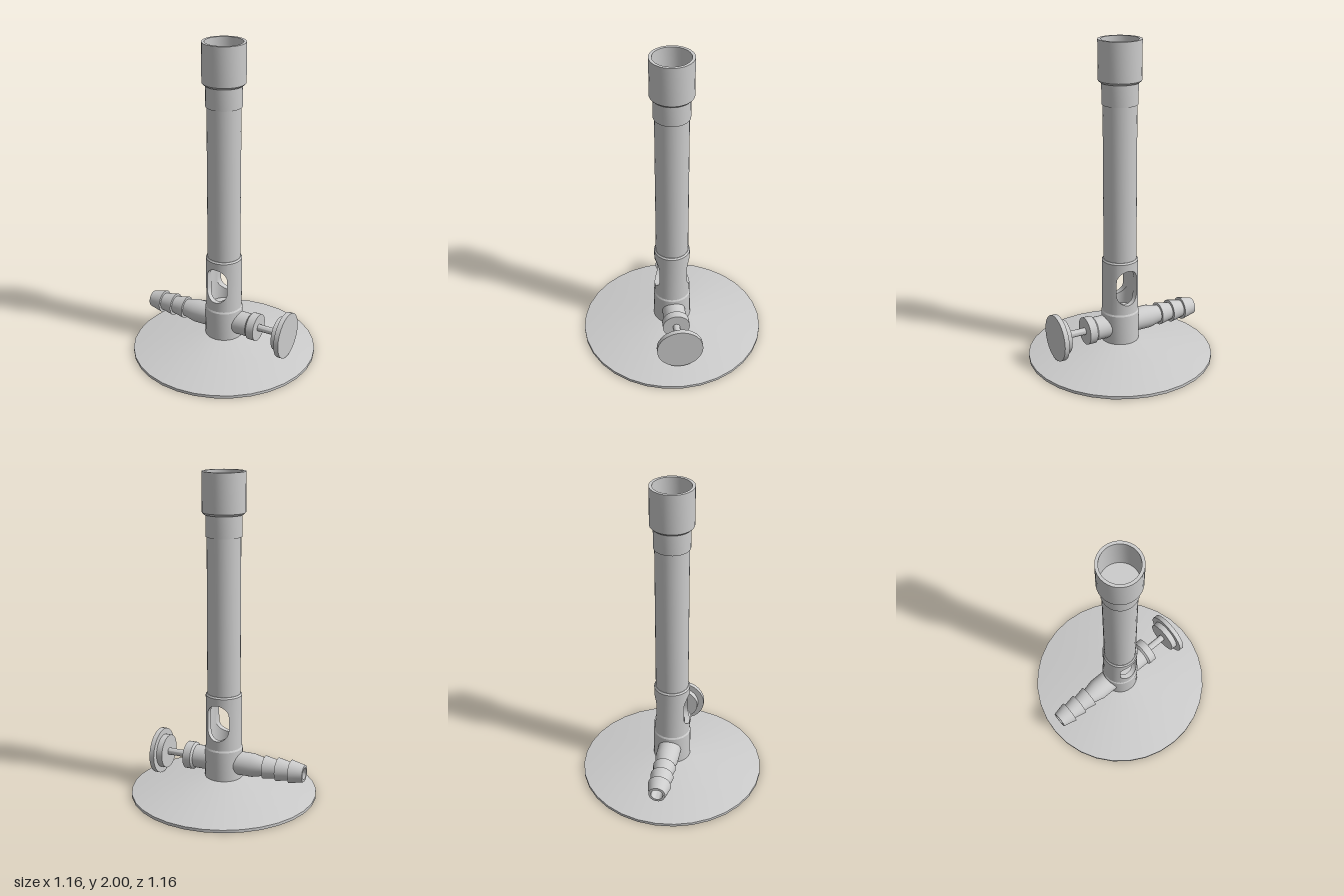
import * as THREE from 'three';
import { toCreasedNormals } from 'three/addons/utils/BufferGeometryUtils.js';

const material = new THREE.MeshStandardMaterial({ color: 0xcccccc });
const AXIS_Y = 0.207; // height of the gas inlet and valve

// Turned part: profile is [radius, position along axis]
function turned(name, profile, sides = 32) {
  const points = profile.map(([r, y]) => new THREE.Vector2(r, y));
  const mesh = new THREE.Mesh(toCreasedNormals(new THREE.LatheGeometry(points, sides), 0.4), material);
  mesh.name = name;
  return mesh;
}

// Turned part lying along x
function sideways(name, profile) {
  const mesh = turned(name, profile);
  mesh.rotation.z = -Math.PI / 2;
  mesh.position.y = AXIS_Y;
  return mesh;
}

// Sleeve with a straight rounded slot cut through front and back
function slottedSleeve(name) {
  const ro = 0.112, ri = 0.08, half = 0.07, straight = 0.045, mid = 0.485, steps = 12;
  const columns = [];
  for (const turn of [0, Math.PI]) {
    for (let k = 0; k <= steps; k++) {
      const phi = (k / steps - 0.5) * Math.PI;
      const x = half * Math.sin(phi);
      columns.push({ angle: r => turn + Math.asin(x / r), gap: straight + half * Math.cos(phi), wall: false });
    }
    for (let k = 0; k <= steps; k++) {
      columns.push({
        angle: r => {
          const edge = Math.asin(half / r);
          return turn + THREE.MathUtils.lerp(edge, Math.PI - edge, k / steps);
        },
        gap: 0, wall: true,
      });
    }
  }
  // Closed sections below and above the slot; rim is the edge facing the slot
  const sections = [
    { rim: 1, loop: g => [[ro, 0.3], [ro, mid - g], [ri, mid - g], [ri, 0.3]] },
    { rim: 4, loop: g => [[ro, mid + g], [ro, 0.645], [ro - 0.008, 0.655], [ri, 0.655], [ri, mid + g]] },
  ];
  const positions = [];
  for (const { rim, loop } of sections) {
    const rings = columns.map(c => loop(c.gap).map(([r, y]) =>
      [r * Math.sin(c.angle(r)), y, r * Math.cos(c.angle(r))]));
    rings.forEach((ring, j) => {
      const n = (j + 1) % rings.length, next = rings[n];
      ring.forEach((a, i) => {
        if (i === rim && columns[j].wall && columns[n].wall) return;
        const m = (i + 1) % ring.length;
        positions.push(...a, ...next[i], ...next[m], ...a, ...next[m], ...ring[m]);
      });
    });
  }
  const geometry = new THREE.BufferGeometry();
  geometry.setAttribute('position', new THREE.Float32BufferAttribute(positions, 3));
  const mesh = new THREE.Mesh(toCreasedNormals(geometry, 0.4), material);
  mesh.name = name;
  return mesh;
}

export function createModel() {
  const group = new THREE.Group();
  group.name = 'gasBurner';

  // Foot and upright
  group.add(turned('base', [[0, 0], [0.58, 0], [0.58, 0.018], [0.118, 0.112], [0, 0.112]]));
  group.add(turned('valveBlock', [[0, 0.1], [0.118, 0.1], [0.118, 0.3], [0.112, 0.31], [0, 0.31]]));
  group.add(slottedSleeve('airCollar'));
  group.add(turned('barrel', [[0, 0.64], [0.102, 0.64], [0.102, 1.63], [0, 1.63]]));
  group.add(turned('neck', [[0, 1.62], [0.109, 1.62], [0.109, 1.76], [0, 1.76]]));

  // Open cup at the top
  group.add(turned('burnerHead', [
    [0, 1.75], [0.117, 1.75], [0.13, 1.763], [0.13, 2], [0.112, 2], [0.112, 1.77], [0, 1.77],
  ]));

  // Barbed hose inlet on the right
  const inlet = [[0, -0.44], [0.037, -0.44], [0.037, -0.53], [0.052, -0.53]];
  for (const x of [-0.443, -0.359, -0.275]) inlet.push([0.072, x], [0.055, x]);
  inlet.push([0.073, -0.198], [0.073, 0]);
  group.add(sideways('hoseInlet', inlet));

  // Needle valve on the left
  group.add(sideways('valveBody', [
    [0.073, 0], [0.073, 0.186], [0.086, 0.198], [0.086, 0.248], [0, 0.248],
  ]));
  group.add(sideways('valveStem', [[0.022, 0.24], [0.022, 0.39]]));
  group.add(sideways('valveKnob', [
    [0, 0.382], [0.106, 0.382], [0.106, 0.42], [0.144, 0.42], [0.144, 0.45], [0, 0.45],
  ]));
  return group;
}
